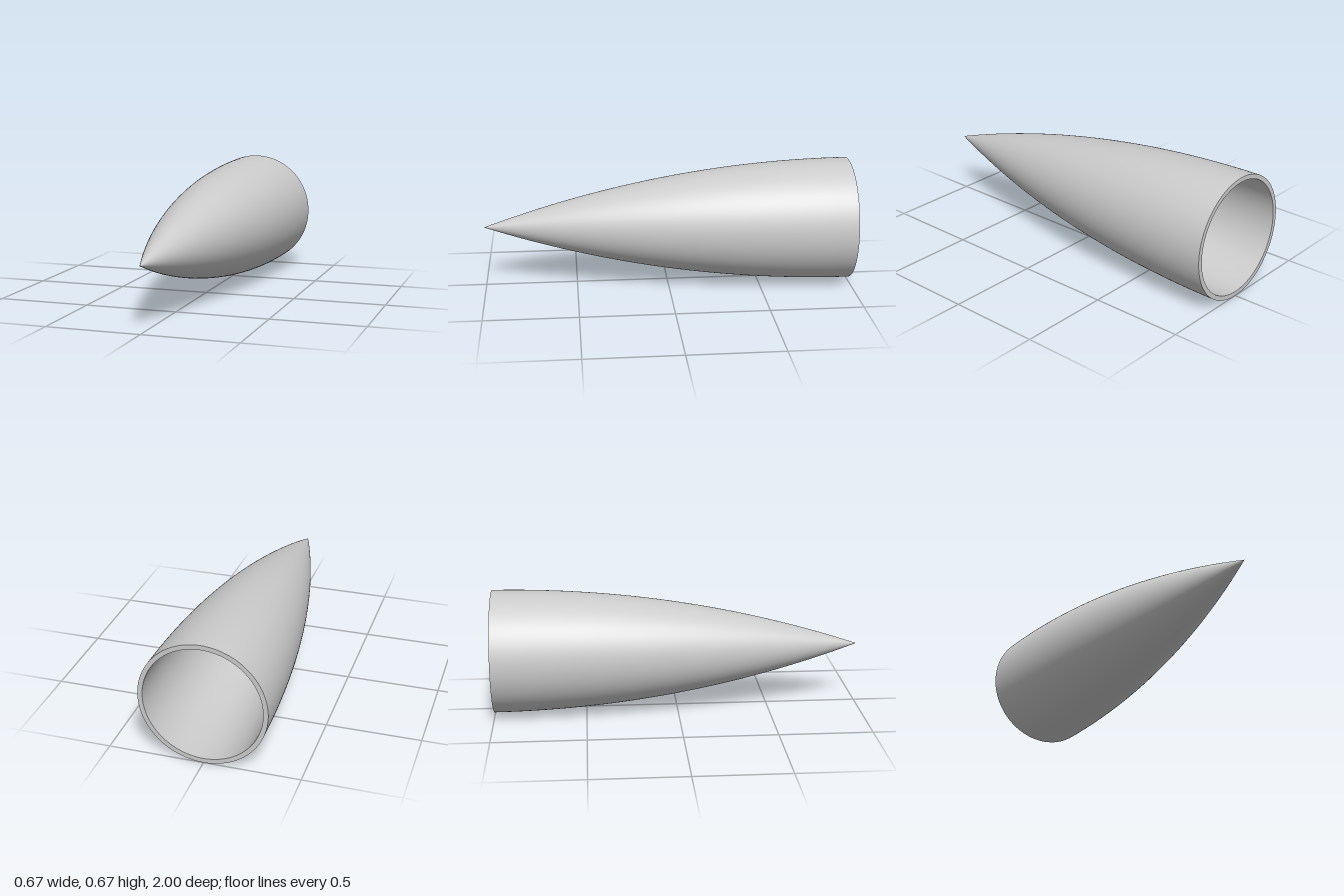
import * as THREE from 'three';

const LENGTH = 2, RADIUS = 1 / 3, WALL = 0.025;
const SEGMENTS = 128, STEPS = 48;

// Tangent ogive: a circular arc that meets the base parallel to the axis
const ARC = (RADIUS ** 2 + LENGTH ** 2) / (2 * RADIUS);

// Profile from base to tip, inset by the given wall thickness
function ogiveProfile(inset) {
  const arc = ARC - inset, centre = ARC - RADIUS;
  const tipAngle = Math.acos(centre / arc);
  const points = [];
  for (let i = 0; i <= STEPS; i++) {
    const a = tipAngle * i / STEPS;
    points.push(new THREE.Vector2(Math.max(0, arc * Math.cos(a) - centre), arc * Math.sin(a)));
  }
  return points;
}

export function createModel() {
  const group = new THREE.Group();
  group.name = 'noseCone';
  const material = new THREE.MeshStandardMaterial({ color: 0xcccccc });

  // Spin a profile about the z axis, base at z = -1 and tip at z = +1
  const addShell = (name, points) => {
    const geometry = new THREE.LatheGeometry(points, SEGMENTS);
    geometry.rotateX(Math.PI / 2).translate(0, RADIUS, -LENGTH / 2);
    const mesh = new THREE.Mesh(geometry, material);
    mesh.name = name;
    group.add(mesh);
  };

  addShell('outerSkin', ogiveProfile(0));
  // Reversed so the cavity faces inward
  addShell('innerSkin', ogiveProfile(WALL).reverse());
  // Flat ring closing the wall at the open base
  addShell('baseRim', [new THREE.Vector2(RADIUS - WALL, 0), new THREE.Vector2(RADIUS, 0)]);

  return group;
}
